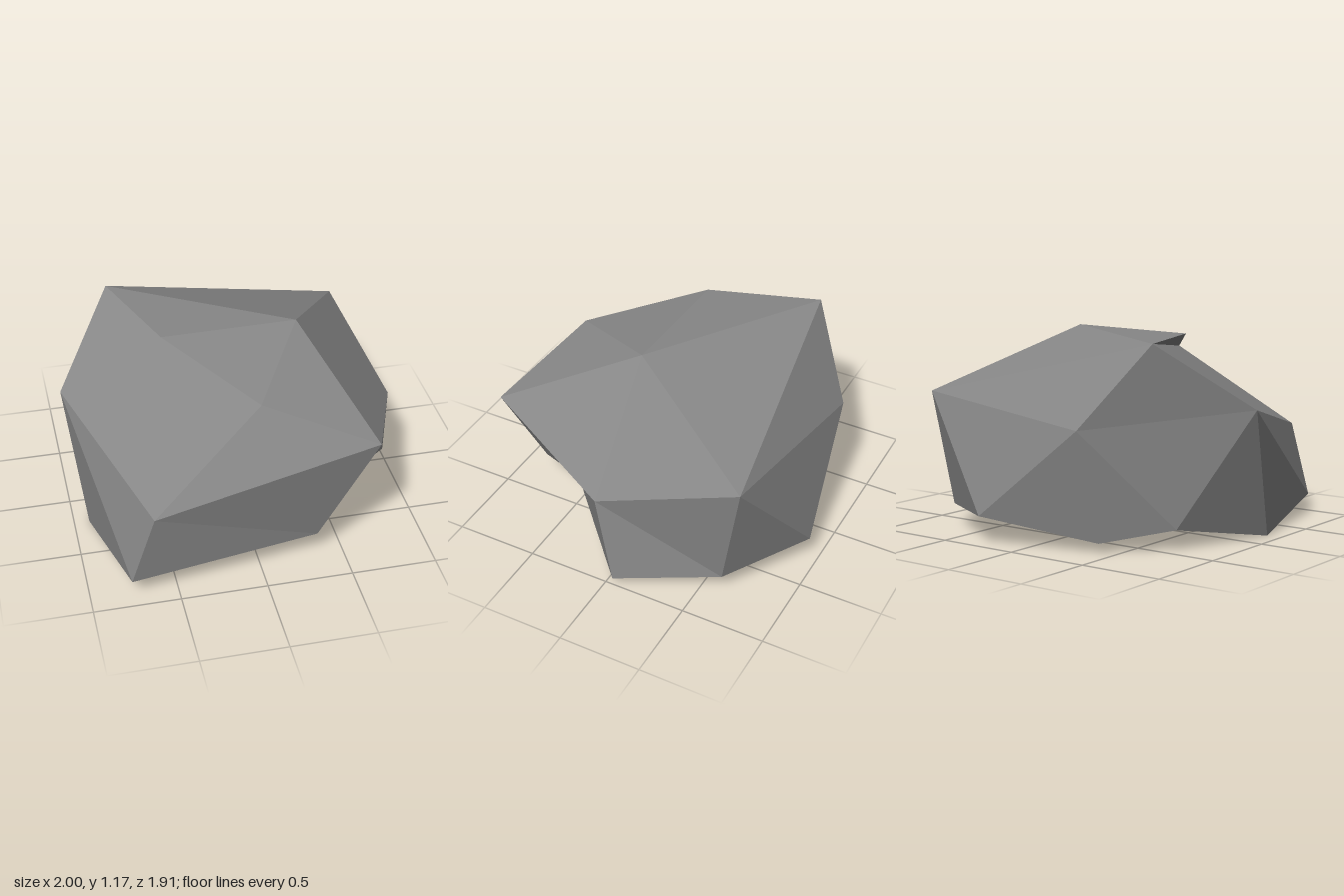
import * as THREE from 'three';

// Corners of the boulder
const corners = {
  // crown
  B: [-0.64, 1.155, -0.56], C: [-0.42, 1.158, 0.08], E: [0.37, 1.175, 0.09], D: [0.03, 1.02, 0.665],
  // shoulders
  A: [-1, 0.77, -0.065], G: [-0.63, 0.55, 0.952], F: [0.665, 0.8, 0.873],
  I: [0.968, 0.56, 0.07], H: [0.82, 0.815, -0.755], Q: [-0.35, 0.69, -0.86],
  // foot
  K: [-0.91, 0, 0.21], L: [-0.765, 0.12, 0.935], M: [0.34, 0.16, 0.8], O: [0.47, 0.195, 0.49],
  J: [1, 0.045, -0.045], X: [0.77, 0.125, -0.63], R: [0.28, 0.16, -0.955],
  S: [-0.4, 0.053, -0.73], T: [-0.72, 0.12, -0.44],
  // middle of the underside
  N: [0.47, 0.065, -0.2],
};

// Each word is a fan of facets spreading from its first corner, counter-clockwise from outside
const facets = [
  'BCEHQ', 'DFEC', 'DGF',              // top and upper front
  'BAGDC', 'ABQTKLG',                  // side at -x
  'GLMF', 'OFM',                       // lower front
  'IEFOJX', 'HEIXRQ',                  // side at +x and rear corner
  'QRST',                              // back
  'TSR', 'XJO', 'NXOMLKTRX',           // underside
];

function facetedGeometry() {
  const positions = [];
  for (const fan of facets) {
    for (let i = 1; i < fan.length - 1; i++) {
      for (const key of [fan[0], fan[i], fan[i + 1]]) positions.push(...corners[key]);
    }
  }
  const geometry = new THREE.BufferGeometry();
  geometry.setAttribute('position', new THREE.Float32BufferAttribute(positions, 3));
  geometry.computeVertexNormals(); // unshared corners give flat facets
  return geometry;
}

export function createModel() {
  const stone = new THREE.MeshStandardMaterial({ color: 0x868686 });
  stone.name = 'greyStone';

  const boulder = new THREE.Mesh(facetedGeometry(), stone);
  boulder.name = 'boulder';

  const group = new THREE.Group();
  group.name = 'rock';
  group.add(boulder);
  return group;
}
